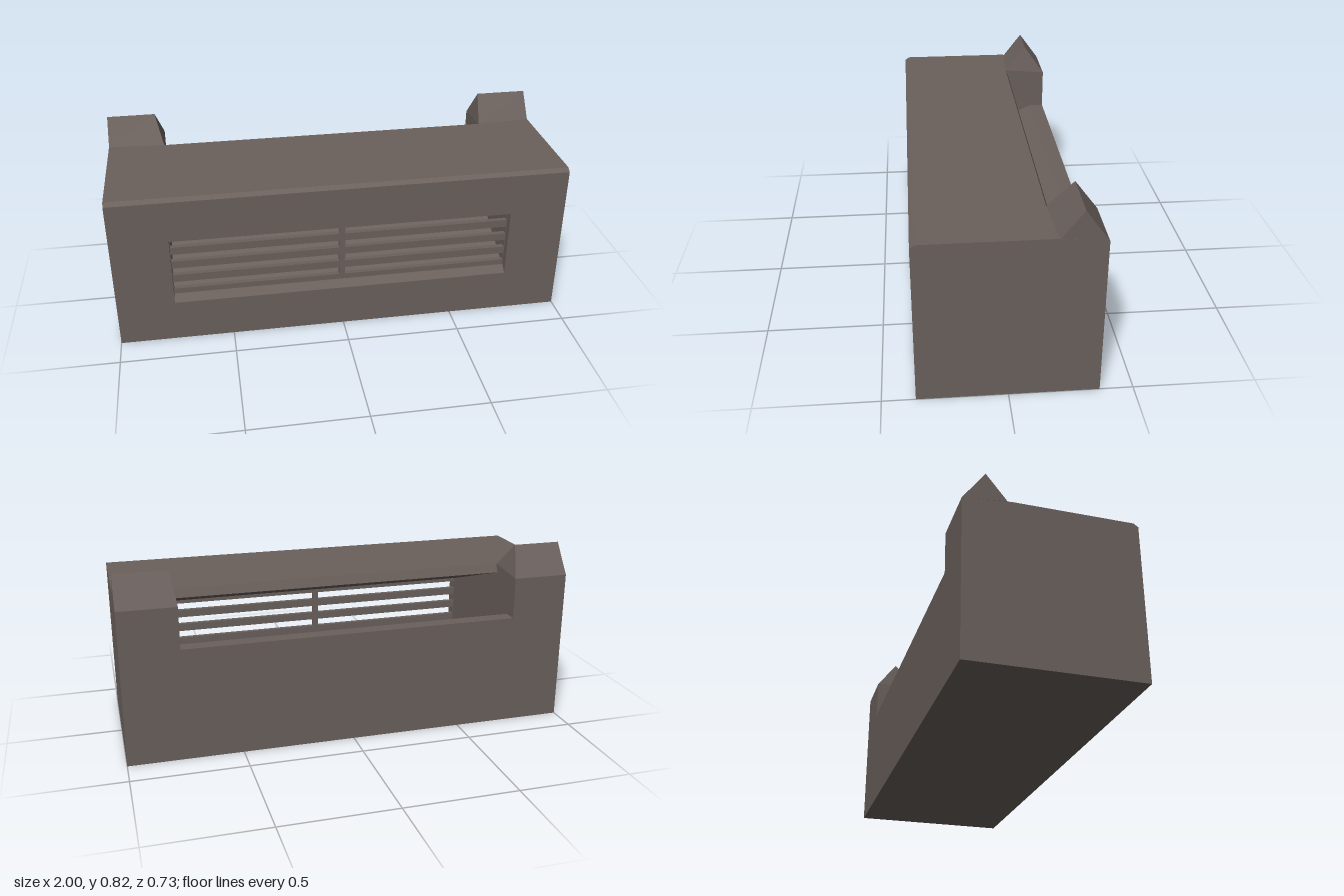
import * as THREE from 'three';

const shell = new THREE.MeshStandardMaterial({ color: 0x6a605c });
shell.name = 'warm grey shell';

// Extrudes a [z, y] profile along x, from x0 to x1
function slab(name, profile, x0, x1) {
  const shape = new THREE.Shape(profile.map(([z, y]) => new THREE.Vector2(-z, y)));
  const geo = new THREE.ExtrudeGeometry(shape, { depth: x1 - x0, bevelEnabled: false });
  geo.rotateY(Math.PI / 2).translate(x0, 0, 0);
  const mesh = new THREE.Mesh(geo, shell);
  mesh.name = name;
  return mesh;
}

export function createModel() {
  const model = new THREE.Group();
  model.name = 'ventHousing';
  const inner = 0.75, front = 0.365, back = -0.365;

  // Lower body: sloping duct floor with a level rear lip and a front sill
  model.add(slab('ductFloor', [
    [front, 0], [front, 0.19], [0.335, 0.215], [0.31, 0.22],
    [-0.3, 0.5], [back, 0.5], [back, 0],
  ], -inner, inner));

  // Roof: chamfered front edge, angled rear lip, sloping ceiling
  model.add(slab('ductRoof', [
    [front, 0.502], [front, 0.69], [0.345, 0.704], [-0.165, 0.704],
    [-0.18, 0.665], [0.31, 0.502],
  ], -inner, inner));

  for (const side of [1, -1]) {
    const label = side > 0 ? 'left' : 'right';
    const span = (a, b) => (side > 0 ? [a, b] : [-b, -a]);

    // Solid end block
    model.add(slab(label + 'EndBlock', [
      [front, 0], [front, 0.69], [0.345, 0.704], [-0.165, 0.704],
      [back, 0.685], [back, 0],
    ], ...span(inner, 1)));

    // Ridge on the end block, its inner face leaning outwards
    const ridge = slab(label + 'Ridge', [
      [-0.165, 0.703], [-0.27, 0.816], [back, 0.685],
    ], ...span(inner, 1));
    const p = ridge.geometry.attributes.position;
    for (let i = 0; i < p.count; i++) {
      const isInner = Math.abs(p.getX(i)) < 0.9;
      if (isInner && p.getY(i) > 0.8) p.setX(i, side * (side > 0 ? 0.768 : 0.785));
      if (!isInner && p.getZ(i) > -0.2) p.setZ(i, -0.182);
    }
    ridge.geometry.computeVertexNormals();
    model.add(ridge);
  }

  // Grille: thin plate with two columns of four slots
  const plate = new THREE.Shape();
  plate.moveTo(-inner, 0.2).lineTo(inner, 0.2).lineTo(inner, 0.505).lineTo(-inner, 0.505).closePath();
  for (let row = 0; row < 4; row++) {
    const y = 0.241 + row * 0.07;
    for (const [a, b] of [[-0.748, -0.014], [0.012, 0.748]]) {
      const slot = new THREE.Path();
      slot.moveTo(a, y).lineTo(a, y + 0.035).lineTo(b, y + 0.035).lineTo(b, y).closePath();
      plate.holes.push(slot);
    }
  }
  const grille = new THREE.Mesh(
    new THREE.ExtrudeGeometry(plate, { depth: 0.022, bevelEnabled: false }), shell);
  grille.name = 'grille';
  grille.position.z = 0.308;
  model.add(grille);

  return model;
}
